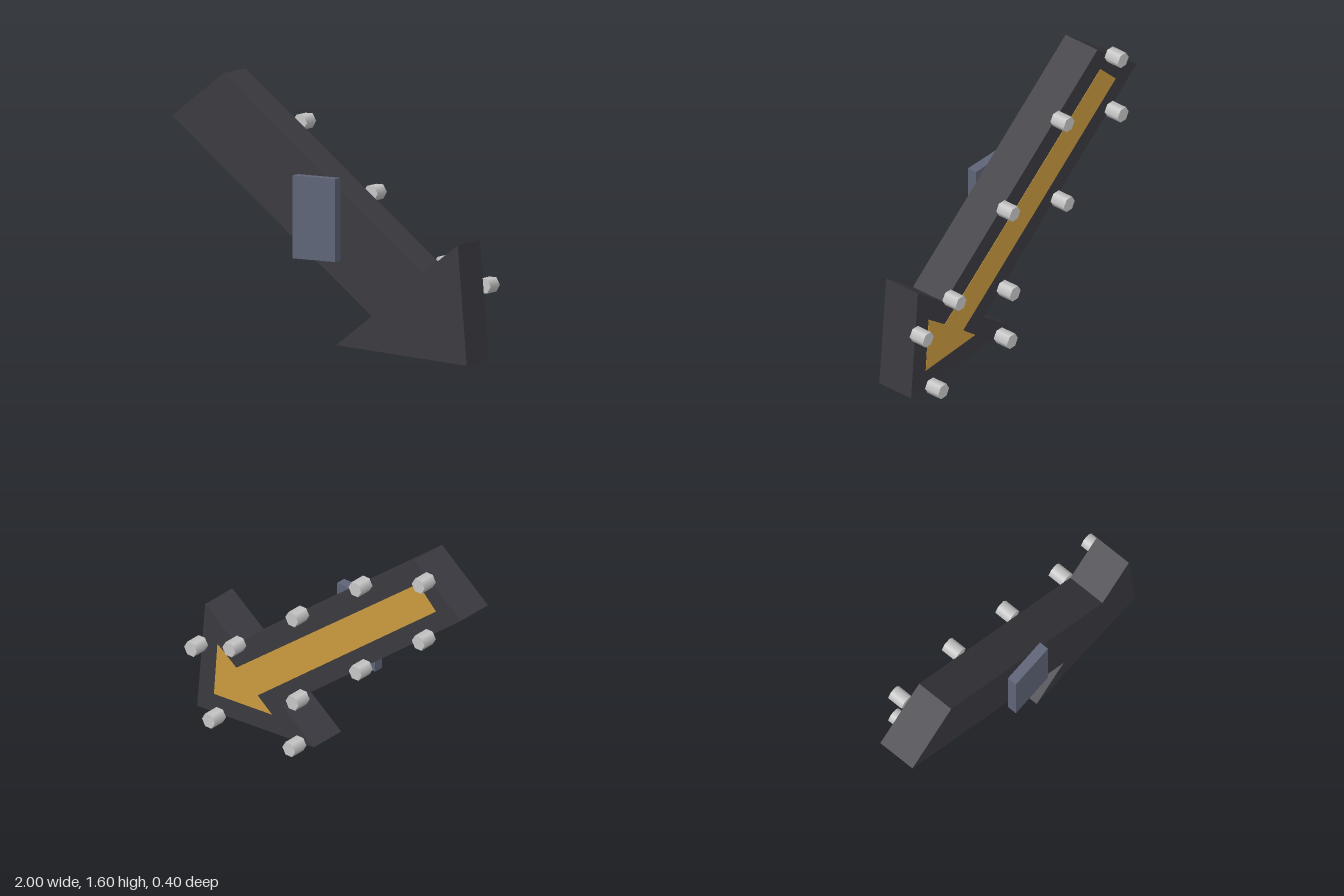
import * as THREE from 'three';

function material(name, color) {
  const m = new THREE.MeshStandardMaterial({ color });
  m.name = name;
  return m;
}

// Extrudes an outline from zBack towards the front.
function plate(name, points, zBack, depth, mat) {
  const shape = new THREE.Shape(points.map(([x, y]) => new THREE.Vector2(x, y)));
  const geo = new THREE.ExtrudeGeometry(shape, { depth, bevelEnabled: false });
  geo.translate(0, 0, zBack);
  const mesh = new THREE.Mesh(geo, mat);
  mesh.name = name;
  return mesh;
}

export function createModel() {
  const group = new THREE.Group();
  group.name = 'arrowSign';
  const charcoal = material('charcoal', 0x3b3a40);
  const slate = material('slate', 0x5f6578);
  const gold = material('gold', 0xcc9c40);
  const silver = material('silver', 0xc8c8c8);

  // Thick arrow body, pointing down to the model's left
  group.add(plate('arrowBody', [
    [-1, 1.335], [0.345, 0.275], [0.105, 0.09], [0.985, 0.037],
    [0.925, 0.73], [0.69, 0.55], [-0.655, 1.605],
  ], -0.1, 0.24, charcoal));

  // Inset arrow on the back face
  group.add(plate('arrowInlay', [
    [-0.814, 1.328], [0.529, 0.275], [0.421, 0.189], [0.857, 0.164],
    [0.831, 0.502], [0.69, 0.398], [-0.679, 1.461],
  ], -0.102, 0.004, gold));

  // Mounting block on the front face
  const mount = new THREE.Mesh(new THREE.BoxGeometry(0.286, 0.48, 0.06), slate);
  mount.name = 'mountingBlock';
  mount.position.set(-0.008, 0.82, 0.17);
  group.add(mount);

  // Six-sided bulbs around the rim, with a corner pointing sideways
  const bulbGeo = new THREE.CylinderGeometry(0.048, 0.048, 0.1, 6);
  bulbGeo.rotateX(-Math.PI / 2);
  bulbGeo.rotateZ(Math.PI / 2);
  const bulbs = new THREE.Group();
  bulbs.name = 'bulbs';
  [
    [-0.765, 1.52], [-0.288, 1.32], [0.188, 0.945], [0.662, 0.57], [0.95, 0.466],
    [-0.765, 1.145], [-0.29, 0.77], [0.185, 0.395], [0.21, 0.08], [0.815, 0.042],
  ].forEach(([x, y]) => {
    const bulb = new THREE.Mesh(bulbGeo, silver);
    bulb.name = 'bulb';
    bulb.position.set(x, y, -0.15);
    bulbs.add(bulb);
  });
  group.add(bulbs);

  return group;
}
